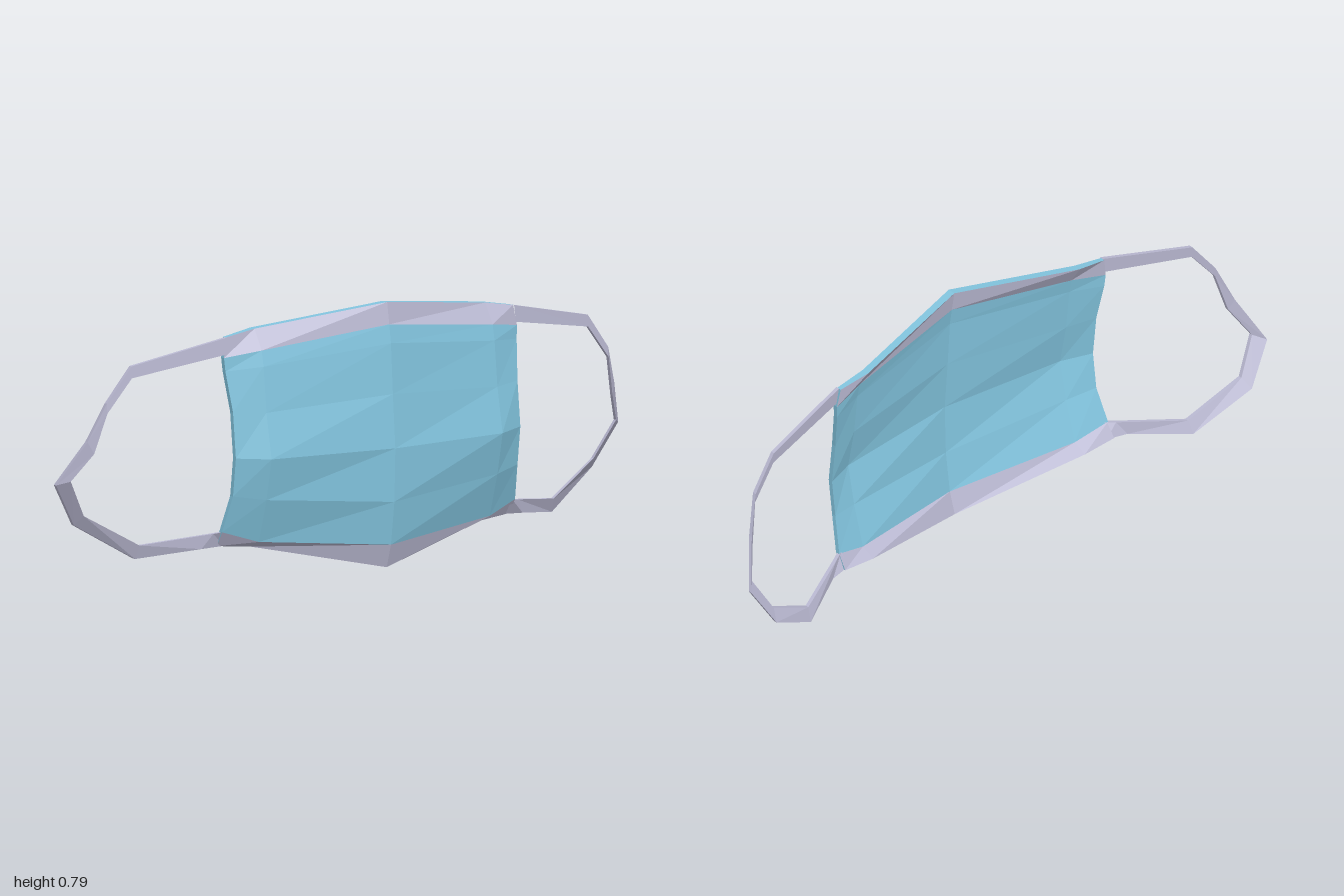
import * as THREE from 'three';

const blue = new THREE.MeshStandardMaterial({ color: 0x82c4de });
blue.name = 'pale blue fabric';
const lavender = new THREE.MeshStandardMaterial({ color: 0xbab9d2 });
lavender.name = 'lavender trim';

// Half cross-sections of the mask, top to bottom: centre, cheek fold, side edge
const rows = [
  [[0, 0.79, 0.127], [0.41, 0.737, 0.037], [0.51, 0.72, 0.035]],
  [[0, 0.725, 0.138], [0.41, 0.677, 0.075], [0.52, 0.66, 0.04]],
  [[0, 0.67, 0.147], [0.41, 0.63, 0.085], [0.517, 0.62, 0.043]],
  [[0, 0.52, 0.157], [0.41, 0.495, 0.1], [0.505, 0.5, 0.065]],
  [[0, 0.36, 0.17], [0.41, 0.36, 0.127], [0.505, 0.365, 0.08]],
  [[0, 0.2, 0.165], [0.41, 0.235, 0.1], [0.505, 0.25, 0.065]],
  [[0, 0.07, 0.147], [0.41, 0.105, 0.06], [0.52, 0.14, 0.03]],
  [[0, 0, 0.125], [0.41, 0.085, 0.015], [0.52, 0.095, 0.003]],
];

// Ear loop rails, from the top corner round to the bottom corner
const outerRail = [
  [0.51, 0.72, 0.034], [0.81, 0.655, -0.022], [0.89, 0.55, -0.033], [0.935, 0.435, -0.068],
  [0.998, 0.302, -0.14], [0.92, 0.173, -0.162], [0.74, 0.063, -0.107], [0.57, 0.09, -0.01], [0.5, 0.095, 0.003],
];
const innerRail = [
  [0.515, 0.67, 0.036], [0.81, 0.62, -0.02], [0.89, 0.52, -0.031], [0.92, 0.4, -0.055],
  [0.968, 0.315, -0.107], [0.905, 0.203, -0.132], [0.735, 0.105, -0.09], [0.54, 0.135, 0.008], [0.51, 0.14, 0.024],
];

const mirror = ([x, y, z]) => [-x, y, z];
const shift = ([x, y, z], dz) => [x, y, z + dz];

// Flat-faced mesh from a list of counter-clockwise quads
function quadMesh(name, quads, material) {
  const pos = [];
  for (const [a, b, c, d] of quads) pos.push(...a, ...b, ...c, ...a, ...c, ...d);
  const geo = new THREE.BufferGeometry();
  geo.setAttribute('position', new THREE.Float32BufferAttribute(pos, 3));
  geo.computeVertexNormals();
  const mesh = new THREE.Mesh(geo, material);
  mesh.name = name;
  return mesh;
}

// Front, back and side edges of the shell between two rows
function shell(front, back, from, to) {
  const quads = [];
  const last = front[0].length - 1;
  for (let i = from; i < to; i++) {
    for (let j = 0; j < last; j++) {
      quads.push([front[i + 1][j], front[i + 1][j + 1], front[i][j + 1], front[i][j]]);
      quads.push([back[i][j], back[i][j + 1], back[i + 1][j + 1], back[i + 1][j]]);
    }
  }
  return quads;
}

function sideEdges(front, back) {
  const quads = [];
  const last = front[0].length - 1;
  for (let i = 0; i < front.length - 1; i++) {
    quads.push([front[i + 1][last], back[i + 1][last], back[i][last], front[i][last]]);
    quads.push([front[i][0], back[i][0], back[i + 1][0], front[i + 1][0]]);
  }
  return quads;
}

function rim(front, back, i, up) {
  const quads = [];
  for (let j = 0; j < front[i].length - 1; j++) {
    const q = [front[i][j], front[i][j + 1], back[i][j + 1], back[i][j]];
    quads.push(up ? q : q.reverse());
  }
  return quads;
}

// Four-sided strap following the two rails
function earLoop(name, left) {
  const h = 0.006;
  const side = (rail, dz) => rail.map((p) => shift(left ? p : mirror(p), dz));
  const of = side(outerRail, h), ob = side(outerRail, -h);
  const nf = side(innerRail, h), nb = side(innerRail, -h);
  const quads = [];
  for (let k = 0; k < of.length - 1; k++) {
    quads.push(
      [of[k], nf[k], nf[k + 1], of[k + 1]],
      [ob[k], ob[k + 1], nb[k + 1], nb[k]],
      [of[k], of[k + 1], ob[k + 1], ob[k]],
      [nf[k], nb[k], nb[k + 1], nf[k + 1]],
    );
  }
  return quadMesh(name, left ? quads : quads.map((q) => q.reverse()), lavender);
}

export function createModel() {
  const group = new THREE.Group();
  group.name = 'faceMask';

  // Full rows, and an inner layer set back behind them
  const front = rows.map(([c, m, e]) => [mirror(e), mirror(m), c, m, e]);
  const depth = [0.015, 0.024, 0.025, 0.024, 0.015];
  const back = front.map((row) => row.map((p, j) => shift(p, -depth[j])));
  const n = rows.length - 1;

  group.add(
    quadMesh('maskBody', shell(front, back, 1, n - 1), blue),
    quadMesh('topBand', shell(front, back, 0, 1), lavender),
    quadMesh('bottomBand', shell(front, back, n - 1, n), lavender),
    quadMesh('topRim', rim(front, back, 0, true), blue),
    quadMesh('bottomRim', rim(front, back, n, false), blue),
    quadMesh('sideEdges', sideEdges(front, back), blue),
    earLoop('leftEarLoop', true),
    earLoop('rightEarLoop', false),
  );
  return group;
}
